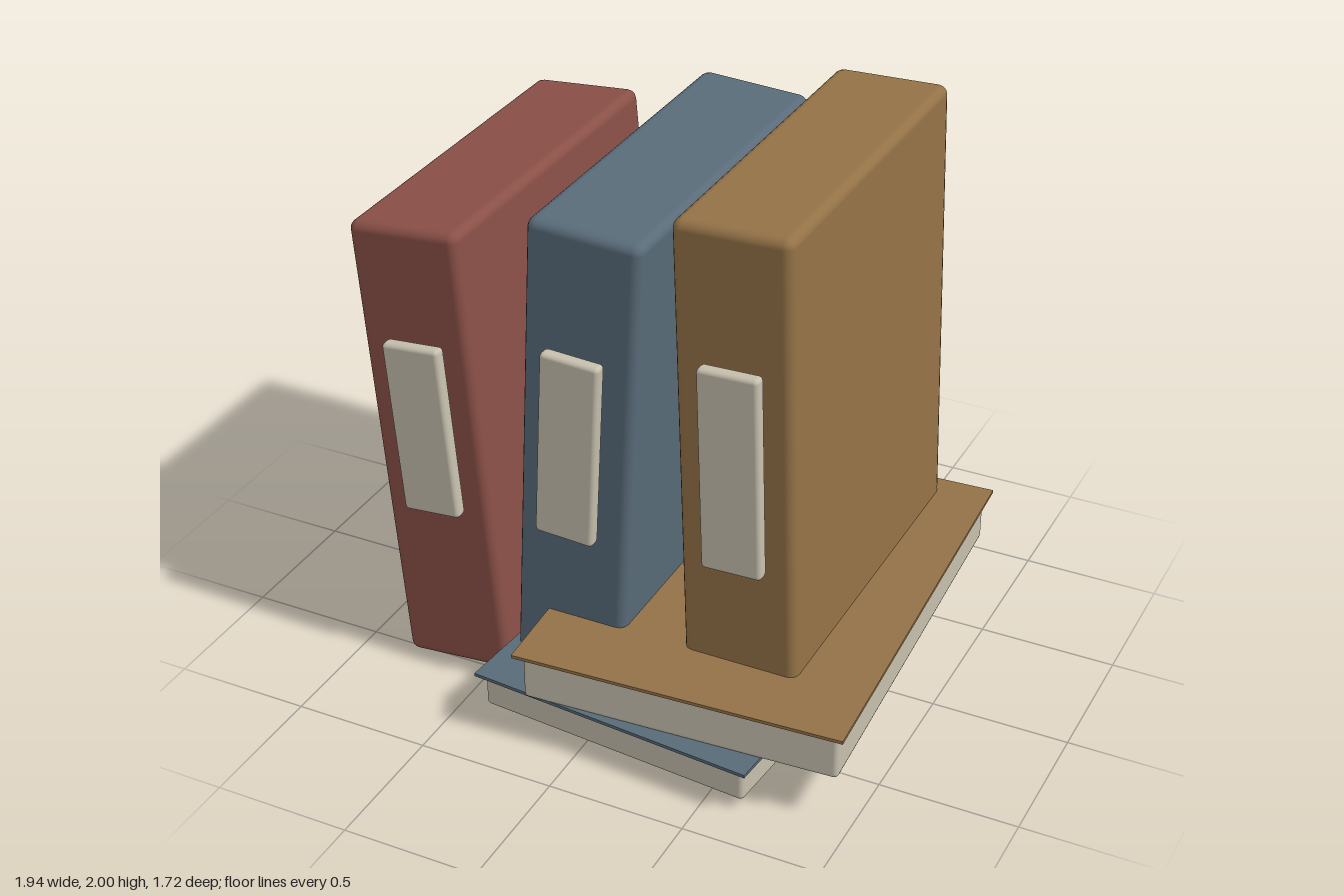
import * as THREE from 'three';
import { RoundedBoxGeometry } from 'three/addons/geometries/RoundedBoxGeometry.js';

const material = (name, color) => {
  const m = new THREE.MeshStandardMaterial({ color });
  m.name = name;
  return m;
};

function part(name, geometry, mat, x, y, z) {
  const mesh = new THREE.Mesh(geometry, mat);
  mesh.name = name;
  mesh.position.set(x, y, z);
  return mesh;
}

export function createModel() {
  const model = new THREE.Group();
  model.name = 'bindersAndBooks';
  const red = material('brick red', 0x8a5047);
  const blue = material('slate blue', 0x596b79);
  const ochre = material('ochre brown', 0x947247);
  const cream = material('paper cream', 0xc6bfad);

  // Leaning binders, each with a spine label
  const binders = [
    { name: 'redBinder', mat: red, x: -0.695, y: 0.88, h: 1.72, tilt: 0.085 },
    { name: 'blueBinder', mat: blue, x: -0.13, y: 0.945, h: 1.86, tilt: -0.052 },
    { name: 'ochreBinder', mat: ochre, x: 0.467, y: 1.005, h: 1.99, tilt: 0.031 },
  ];
  for (const { name, mat, x, y, h, tilt } of binders) {
    const binder = new THREE.Group();
    binder.name = name;
    const body = part('binderBody', new RoundedBoxGeometry(0.42, h, 1.335, 2, 0.035), mat, x, y, -0.13);
    const label = part('spineLabel', new RoundedBoxGeometry(0.22, 0.38 * h, 0.052, 2, 0.016),
      cream, x, y + 0.07 * h, 0.571);
    body.rotation.z = label.rotation.z = tilt;
    binder.add(body, label);
    model.add(binder);
  }

  // Lying books: a page block under a thin cover
  const books = [
    { name: 'lowerBook', mat: blue, x: 0.187, z: 0.043, turn: -0.0875,
      pages: [1.04, 0.122, 1.485], pagesY: 0.102, cover: [1.085, 1.545], coverY: 0.178 },
    { name: 'upperBook', mat: ochre, x: 0.328, z: -0.013, turn: 0.053,
      pages: [1.15, 0.174, 1.575], pagesY: 0.267, cover: [1.2, 1.64], coverY: 0.366 },
  ];
  for (const b of books) {
    const book = new THREE.Group();
    book.name = b.name;
    book.position.set(b.x, 0, b.z);
    book.rotation.y = b.turn;
    book.add(
      part('pageBlock', new RoundedBoxGeometry(...b.pages, 2, 0.018), cream, 0, b.pagesY, 0),
      part('cover', new THREE.BoxGeometry(b.cover[0], 0.012, b.cover[1]), b.mat, 0, b.coverY, 0),
    );
    model.add(book);
  }
  return model;
}
